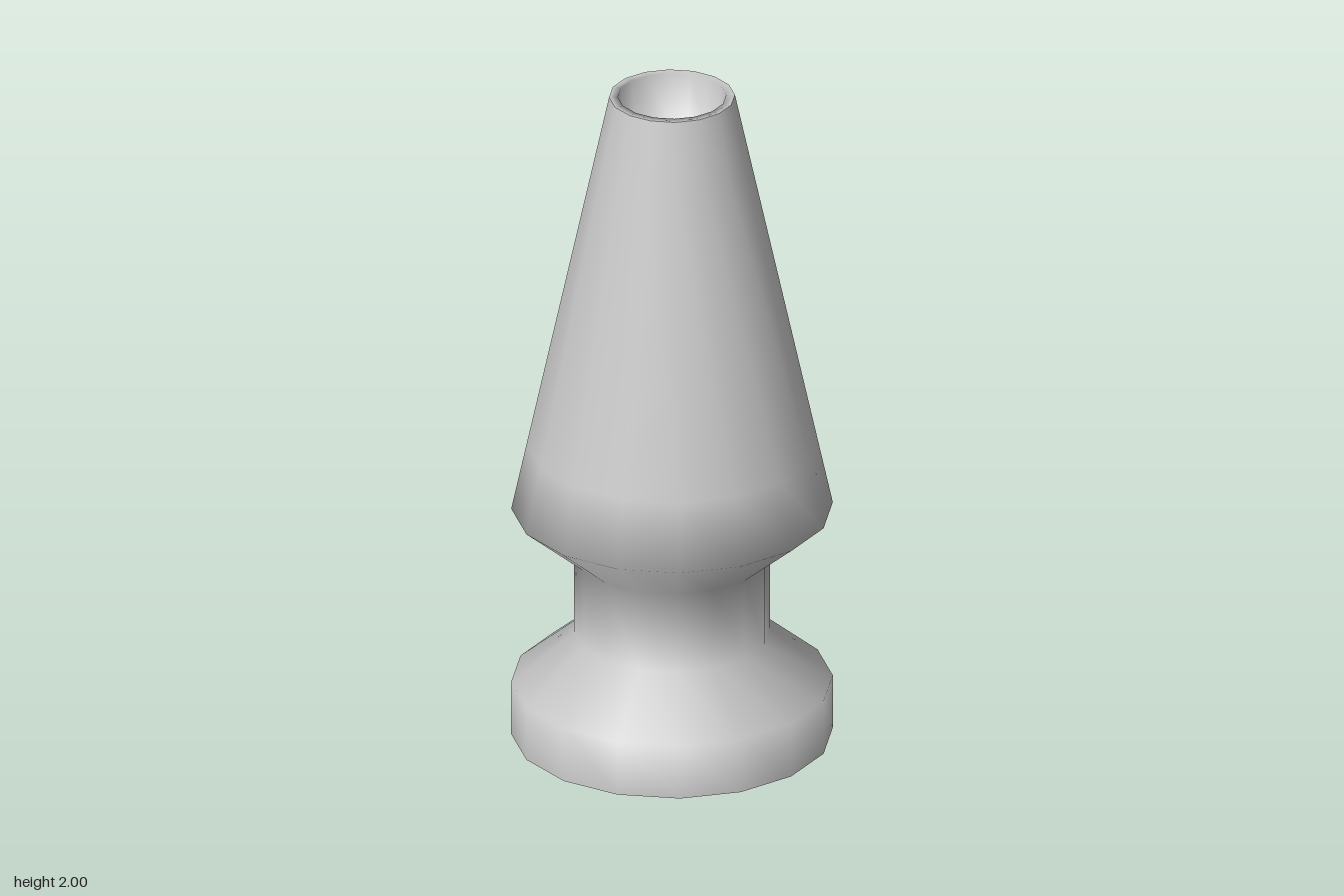
import * as THREE from 'three';

const SIDES = 16;
const STEP = (Math.PI * 2) / SIDES;
const LEDGE = 0.91; // bottom of the rear recess
const LIP = 1.8; // top of the rear recess
const cone = (y) => 0.46 + ((y - 0.71) / 1.29) * (0.18 - 0.46); // radius of the tapered body

export function createModel() {
  const group = new THREE.Group();
  const material = new THREE.MeshStandardMaterial({ color: 0xcccccc });
  const thin = new THREE.MeshStandardMaterial({ color: 0xcccccc, side: THREE.DoubleSide });

  // Revolves a [radius, height] profile over a number of the 16 sides
  const turn = (name, profile, first = 0, count = SIDES) => {
    const points = profile.map(([r, y]) => new THREE.Vector2(r, y));
    const mesh = new THREE.Mesh(new THREE.LatheGeometry(points, count, first * STEP, count * STEP), material);
    mesh.name = name;
    group.add(mesh);
  };

  // Foot, waist and lower shoulder
  turn('footUnderside', [[0, 0], [0.46, 0]]);
  turn('footAndWaist', [
    [0.46, 0], [0.46, 0.165], [0.28, 0.315], [0.28, 0.56], [0.46, 0.71], [cone(LEDGE), LEDGE],
  ]);

  // Tapered body, left open over four sides at the back
  turn('taperedBody', [[cone(LEDGE), LEDGE], [cone(LIP), LIP]], 10, 12);
  turn('upperBody', [[cone(LIP), LIP], [0.18, 2]]);

  // Hollow tip
  turn('tipBore', [[0.18, 2], [0.155, 2], [0.14, 1.85], [0, 1.83]]);

  // Rear recess: ledge, sunken wall and the lip's underside
  turn('recessLedge', [[cone(LEDGE), LEDGE], [0.325, LEDGE]], 6, 4);
  turn('recessWall', [[0.325, LEDGE], [0.16, 1.777]], 6, 4);
  turn('recessLip', [[0.16, 1.777], [cone(LIP), LIP]], 6, 4);

  // Radial cheeks closing both sides of the recess
  const cheek = new THREE.ShapeGeometry(new THREE.Shape([
    new THREE.Vector2(0.325, LEDGE),
    new THREE.Vector2(cone(LEDGE), LEDGE),
    new THREE.Vector2(cone(LIP), LIP),
    new THREE.Vector2(0.16, 1.777),
  ]));
  for (const [name, side] of [['recessCheekLeft', 6], ['recessCheekRight', 10]]) {
    const mesh = new THREE.Mesh(cheek, thin);
    mesh.name = name;
    mesh.rotation.y = side * STEP - Math.PI / 2;
    group.add(mesh);
  }

  return group;
}
